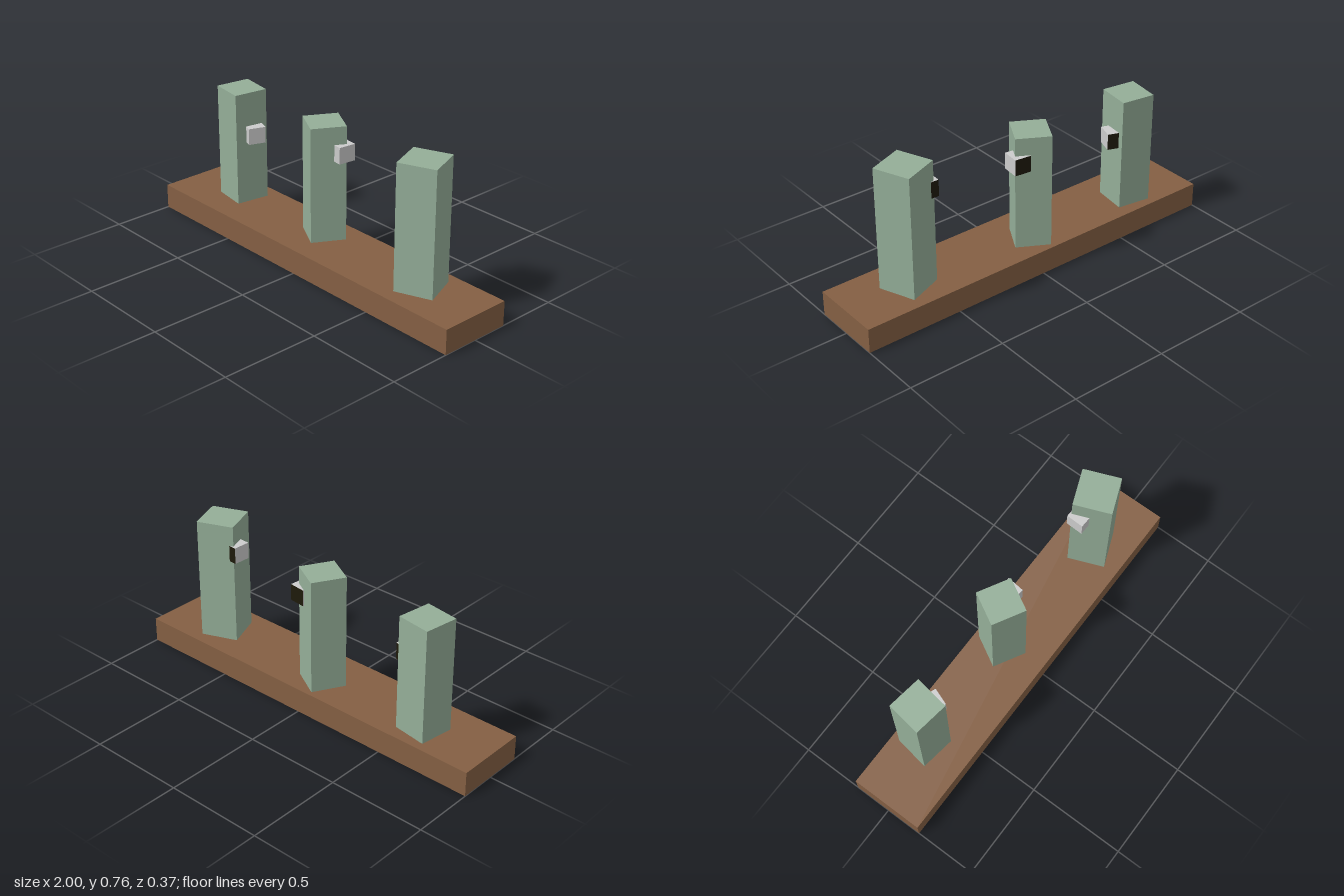
import * as THREE from 'three';

export function createModel() {
  const model = new THREE.Group();
  const mat = (name, color, side = THREE.FrontSide) => {
    const m = new THREE.MeshStandardMaterial({ color, side });
    m.name = name;
    return m;
  };
  const wood = mat('brown wood', 0x845f43, THREE.DoubleSide);
  const green = mat('sage green', 0x94ae98);
  const grey = mat('light grey', 0xcccccc);
  const black = mat('black', 0x1e1a0b);
  const deckY = 0.126;

  const add = (name, geometry, material, x, y, z, degrees = 0) => {
    const mesh = new THREE.Mesh(geometry, material);
    mesh.name = name;
    mesh.position.set(x, y, z);
    mesh.rotation.y = THREE.MathUtils.degToRad(degrees);
    model.add(mesh);
  };

  // Hollow plinth: a box with its bottom face (the fourth) left out
  const plinth = new THREE.BoxGeometry(2, deckY, 0.374);
  plinth.setIndex([...plinth.index.array].filter((v, i) => i < 18 || i >= 24));
  plinth.clearGroups();
  add('plinth', plinth, wood, 0, deckY / 2, 0);

  // Square posts, each turned by its own angle
  const posts = [
    { name: 'rightPost', x: -0.646, z: -0.044, size: 0.175, top: 0.711, turn: -8.3 },
    { name: 'middlePost', x: -0.0315, z: -0.044, size: 0.174, top: 0.715, turn: -29.2 },
    { name: 'leftPost', x: 0.6585, z: -0.0065, size: 0.19, top: 0.758, turn: 21.6 },
  ];
  for (const p of posts) {
    const h = p.top - deckY;
    add(p.name, new THREE.BoxGeometry(p.size, h, p.size), green, p.x, deckY + h / 2, p.z, p.turn);
  }

  // Small blocks set into the posts, with a black back face
  const blockFaces = [grey, grey, grey, grey, grey, black];
  const blocks = [
    { name: 'rightBlock', x: -0.552, y: 0.494, z: -0.043, turn: -20 },
    { name: 'middleBlock', x: 0.063, y: 0.583, z: -0.0685, turn: -6.5 },
    { name: 'leftBlock', x: 0.556, y: 0.614, z: -0.024, turn: -2 },
  ];
  for (const b of blocks) {
    add(b.name, new THREE.BoxGeometry(0.085, 0.084, 0.088), blockFaces, b.x, b.y, b.z, b.turn);
  }
  return model;
}
